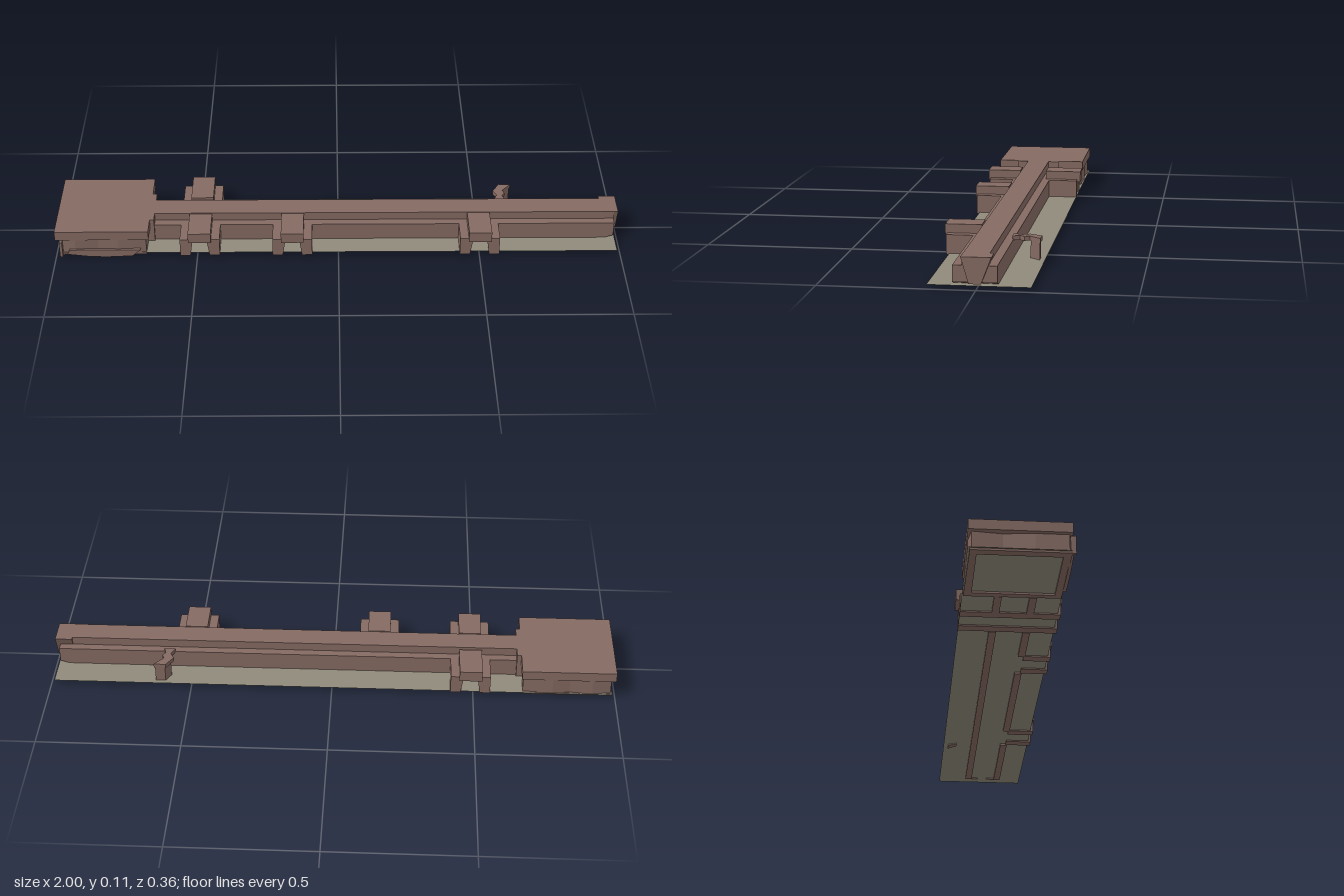
import * as THREE from 'three';

export function createModel() {
  const root = new THREE.Group();
  const stone = new THREE.MeshStandardMaterial({ color: 0x856a62 });
  const ground = new THREE.MeshStandardMaterial({ color: 0x8f8a7a, side: THREE.DoubleSide });
  stone.name = 'brown stone';
  ground.name = 'olive floor';

  const add = (name, geo, mat = stone) => {
    const m = new THREE.Mesh(geo, mat);
    m.name = name;
    root.add(m);
    return m;
  };
  // box given by its limits
  const box = (name, x0, x1, y0, y1, z0, z1, mat) =>
    add(name, new THREE.BoxGeometry(x1 - x0, y1 - y0, z1 - z0), mat)
      .position.set((x0 + x1) / 2, (y0 + y1) / 2, (z0 + z1) / 2);
  const shapeOf = pts => new THREE.Shape(pts.map(p => new THREE.Vector2(...p)));
  // XY profile pushed along z
  const alongZ = (name, pts, z0, z1) =>
    add(name, new THREE.ExtrudeGeometry(shapeOf(pts), { depth: z1 - z0, bevelEnabled: false }))
      .position.z = z0;
  // XZ outline raised from y0 to y1, optionally hollow
  const plan = (name, pts, y0, y1, hole) => {
    const s = shapeOf(pts.map(([x, z]) => [x, -z]));
    if (hole) s.holes.push(shapeOf(hole.map(([x, z]) => [x, -z])));
    const g = new THREE.ExtrudeGeometry(s, { depth: y1 - y0, bevelEnabled: false });
    g.rotateX(-Math.PI / 2);
    add(name, g).position.y = y0;
  };

  // thin floor sheet
  const floor = new THREE.PlaneGeometry(1.98, 0.325);
  floor.rotateX(-Math.PI / 2);
  add('floor', floor, ground).position.set(0, 0.012, -0.0075);

  // platform: flat cap over slightly ragged walls
  box('platformCap', -1, -0.67, 0.07, 0.105, -0.17, 0.158);
  plan('platformWall', [
    [-0.985, 0.148], [-0.93, 0.157], [-0.85, 0.15], [-0.78, 0.156], [-0.68, 0.15],
    [-0.675, -0.16], [-0.78, -0.168], [-0.84, -0.16], [-0.92, -0.167], [-0.985, -0.158],
    [-0.975, -0.06], [-0.985, 0.04]
  ], 0.013, 0.07);
  plan('platformFooting', [[-0.985, 0.156], [-0.68, 0.153], [-0.675, -0.166], [-0.985, -0.163]],
    0.005, 0.013, [[-0.955, 0.13], [-0.7, 0.13], [-0.7, -0.14], [-0.955, -0.14]]);
  alongZ('brokenSkirt', [[-0.96, 0.012], [-0.88, 0.002], [-0.82, 0], [-0.73, 0.004], [-0.7, 0.03], [-0.95, 0.03]], 0.152, 0.163);
  box('cornerChip', -0.985, -0.975, 0.005, 0.066, 0.15, 0.168);

  // long stepped passage, interrupted by a cross tunnel
  const tunnelX = -0.49, half = 0.07;
  box('passageBase', -0.68, tunnelX - half, 0.013, 0.075, -0.065, 0.075);
  box('passageBase', tunnelX + half, 0.94, 0.013, 0.075, -0.065, 0.075);
  box('passageRoof', -0.68, 0.985, 0.075, 0.105, -0.036, 0.046);
  box('passageCollar', -0.68, -0.655, 0.013, 0.105, -0.075, 0.085);

  // side arches: wide legs, narrow cap
  const arch = (x, z0, z1) => alongZ('archLegs', [
    [x - half, 0.007], [x - 0.034, 0.007], [x - 0.025, 0.066], [x + 0.025, 0.066],
    [x + 0.034, 0.007], [x + half, 0.007], [x + half, 0.075], [x - half, 0.075]
  ], z0, z1);
  arch(tunnelX, -0.17, 0.165);
  box('archCap', tunnelX - 0.04, tunnelX + 0.04, 0.066, 0.105, -0.182, -0.05);
  for (const x of [tunnelX, -0.163, 0.5]) {
    if (x !== tunnelX) arch(x, 0.07, 0.165);
    box('archCap', x - 0.04, x + 0.04, 0.066, 0.105, 0.05, 0.173);
  }

  // wall footings showing under the floor, with gaps at the arches
  const footing = (z0, z1, gaps) => {
    let x = -0.675;
    for (const g of [...gaps, 0.94 + half]) {
      box('wallFooting', x, g - half, 0.005, 0.013, z0, z1);
      x = g + half;
    }
  };
  footing(0.05, 0.075, [tunnelX, -0.163, 0.5]);
  footing(-0.065, -0.04, [tunnelX]);

  // far end: undercut wall ends around a tapering centre pier
  const endProfile = [[0.94, 0.007], [0.985, 0.022], [0.985, 0.075], [0.94, 0.075]];
  alongZ('wallEnd', endProfile, 0.02, 0.075);
  alongZ('wallEnd', endProfile, -0.065, -0.015);
  const pier = new THREE.BoxGeometry(0.06, 0.085, 0.096);
  const p = pier.attributes.position;
  for (let i = 0; i < p.count; i++) if (p.getY(i) < 0) p.setZ(i, p.getZ(i) * 0.4 + 0.004);
  const flatPier = pier.toNonIndexed();
  flatPier.computeVertexNormals();
  add('endPier', flatPier).position.set(0.97, 0.0625, -0.001);

  // crooked broken arm on the rear side with its post
  plan('brokenArm', [
    [0.565, -0.06], [0.605, -0.06], [0.597, -0.085], [0.607, -0.1], [0.6, -0.118],
    [0.632, -0.155], [0.59, -0.157], [0.565, -0.115], [0.578, -0.09]
  ], 0.07, 0.085);
  plan('armPost', [[0.575, -0.12], [0.6, -0.12], [0.628, -0.153], [0.593, -0.153]], 0.008, 0.07);

  return root;
}
